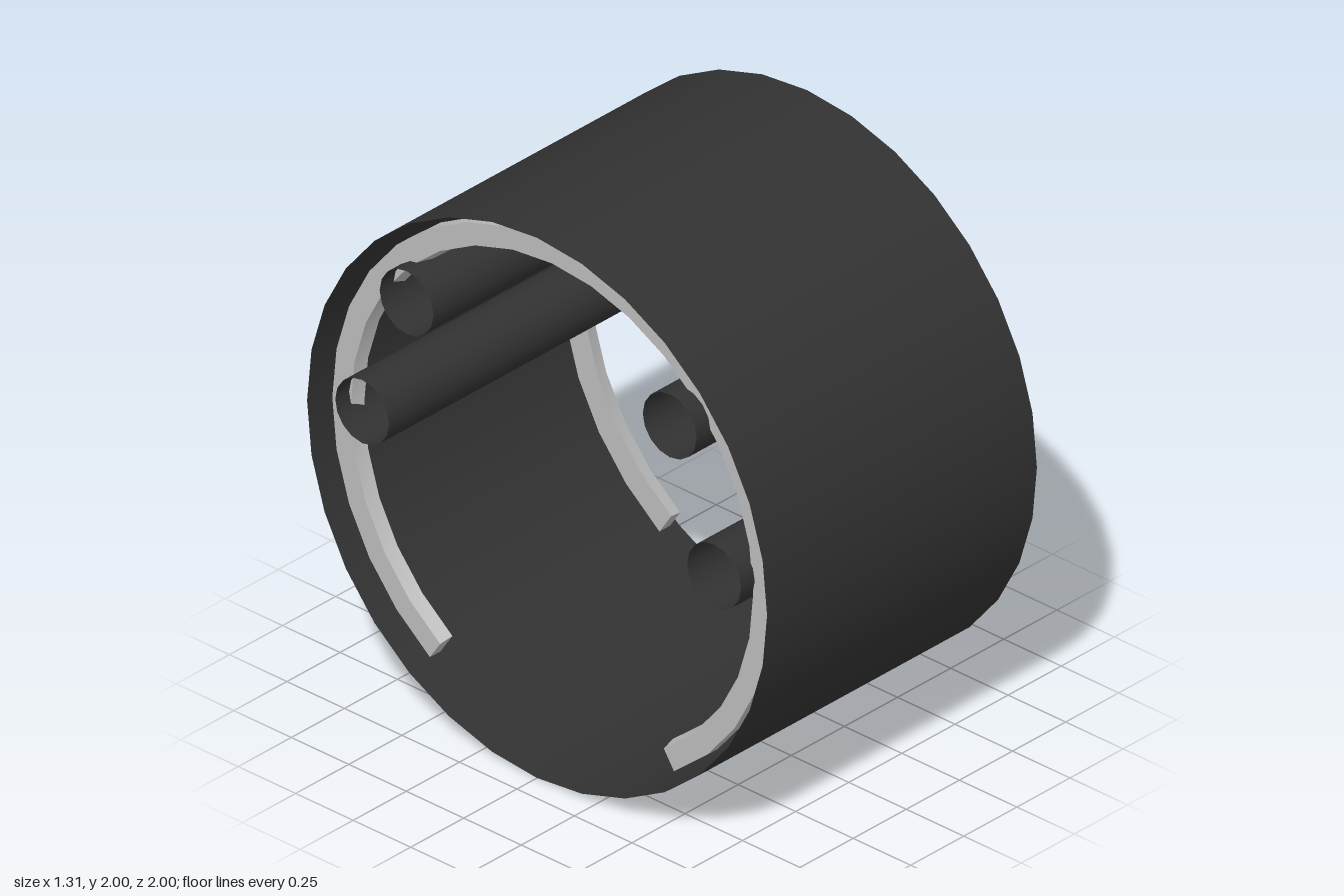
import * as THREE from 'three';
import { toCreasedNormals } from 'three/addons/utils/BufferGeometryUtils.js';

export function createModel() {
  const model = new THREE.Group();
  const dark = new THREE.MeshStandardMaterial({ color: 0x323232, side: THREE.DoubleSide });
  dark.name = 'charcoal';
  const grey = new THREE.MeshStandardMaterial({ color: 0xbcbcbc, side: THREE.DoubleSide });
  grey.name = 'lightGrey';

  const add = (name, geometry, material, x = 0, y = 0, z = 0) => {
    const mesh = new THREE.Mesh(geometry, material);
    mesh.name = name;
    mesh.position.set(x, y, z);
    model.add(mesh);
  };
  // Open tube lying along x
  const tube = (r, x0, x1, sides) =>
    new THREE.CylinderGeometry(r, r, x1 - x0, sides, 1, true)
      .rotateZ(-Math.PI / 2).translate((x0 + x1) / 2, 0, 0);

  // Thin outer shell, open at both ends
  add('outerShell', tube(1, -0.655, 0.615, 32), dark, 0, 1, 0);

  // C-shaped retaining ring, its inner wall narrowing with depth
  const outer = 0.955, inner = 0.875, deepInner = 0.862, depth = 0.05;
  const segments = 26, step = Math.PI / 16;
  const arc = r => Array.from({ length: segments + 1 }, (_, i) => {
    const a = (i - segments / 2) * step;
    return new THREE.Vector2(r * Math.sin(a), r * Math.cos(a));
  });
  const makeRing = () => {
    const shape = new THREE.Shape([...arc(outer), ...arc(inner).reverse()]);
    const g = new THREE.ExtrudeGeometry(shape, { depth, bevelEnabled: false });
    const p = g.attributes.position;
    for (let i = 0; i < p.count; i++) {
      if (p.getZ(i) < depth / 2 && Math.hypot(p.getX(i), p.getY(i)) < 0.91) {
        p.setXY(i, p.getX(i) * deepInner / inner, p.getY(i) * deepInner / inner);
      }
    }
    g.translate(0, 0, -depth);
    g.computeVertexNormals();
    return toCreasedNormals(g, 0.5);
  };
  add('leftRing', makeRing().rotateY(Math.PI / 2), grey, 0.545, 1, 0);
  add('rightRing', makeRing().rotateY(-Math.PI / 2), grey, -0.585, 1, 0);

  // Hollow rods, each with a bevelled cap on one end
  const capProfile = [[0, 0], [0.15, 0], [0.165, 0.015], [0.165, 0.07], [0.15, 0.085], [0, 0.085]]
    .map(([r, h]) => new THREE.Vector2(r, h));
  const cap = toCreasedNormals(
    new THREE.LatheGeometry(capProfile, 12).rotateZ(-Math.PI / 2), 0.6);
  const rod = tube(0.117, -0.65, 0.6, 16);
  for (const side of [1, -1]) {
    for (const [y, z] of [[1.53, 0.572], [1.05, 0.765]]) {
      const end = side > 0 ? 'front' : 'back';
      const level = y > 1.3 ? 'Upper' : 'Lower';
      add(`${end}${level}Rod`, rod, dark, 0, y, z * side);
      add(`${end}${level}Cap`, cap, dark, 0.57, y, z * side);
    }
  }
  return model;
}
